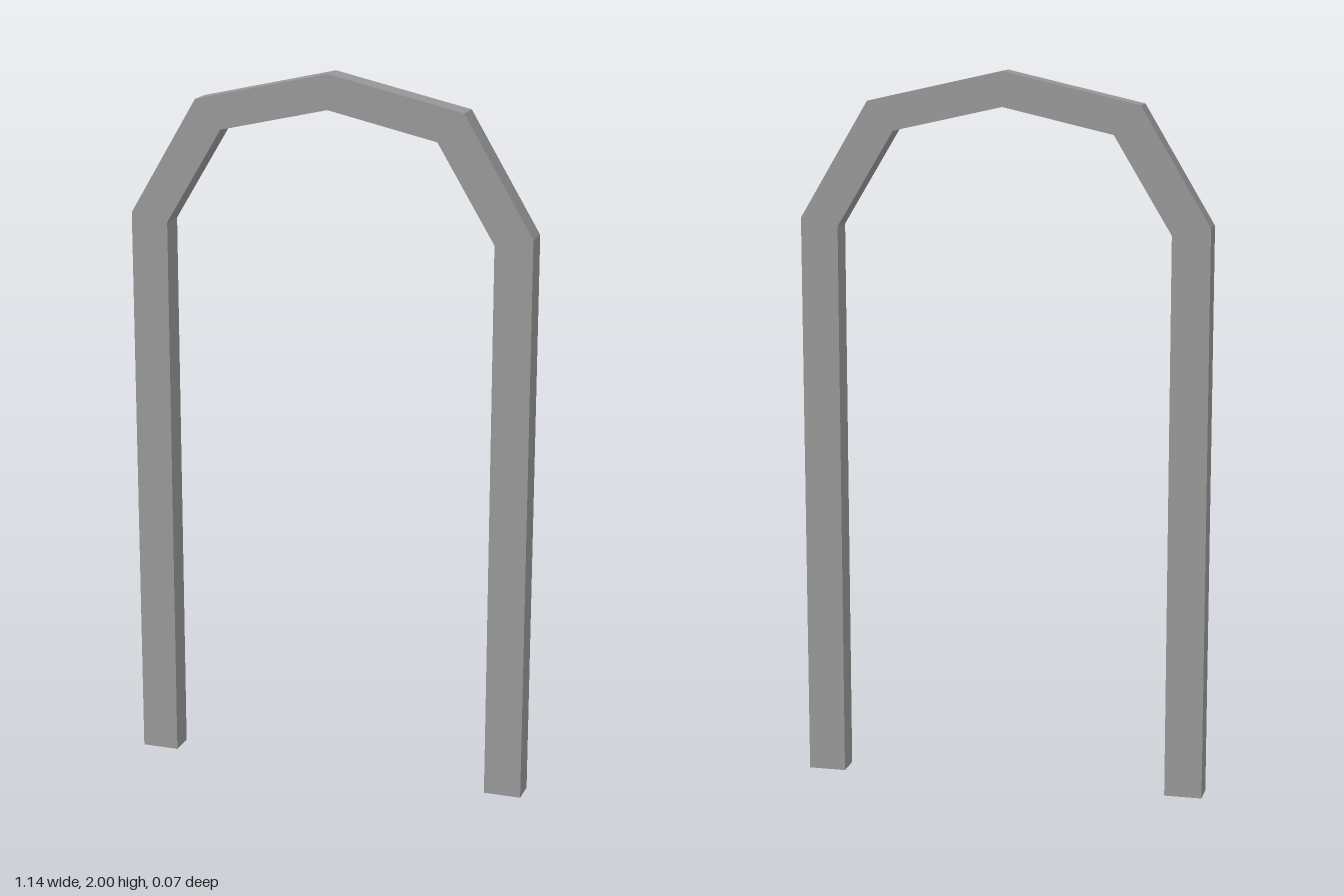
import * as THREE from 'three';

const DEPTH = 0.072;

// Right half of the frame, from the foot up to the crown
const outer = [[0.57, 0], [0.57, 1.592], [0.377, 1.915], [0, 2]];
const inner = [[0.465, 0], [0.465, 1.57], [0.305, 1.835], [0, 1.904]];

// Mirrors a half profile into a full run from +x over the crown to -x
function mirrored(half) {
  const otherSide = half.slice(0, -1).reverse().map(([x, y]) => [-x, y]);
  return [...half, ...otherSide].map(([x, y]) => new THREE.Vector2(x, y));
}

export function createModel() {
  const group = new THREE.Group();
  group.name = 'archway';

  // Rectangular bar: two straight posts joined by a faceted arch
  const shape = new THREE.Shape([...mirrored(outer), ...mirrored(inner).reverse()]);
  const geometry = new THREE.ExtrudeGeometry(shape, { depth: DEPTH, bevelEnabled: false });
  geometry.translate(0, 0, -DEPTH / 2);

  const material = new THREE.MeshStandardMaterial({ color: 0x999999, flatShading: true });
  const frame = new THREE.Mesh(geometry, material);
  frame.name = 'archFrame';
  group.add(frame);
  return group;
}
